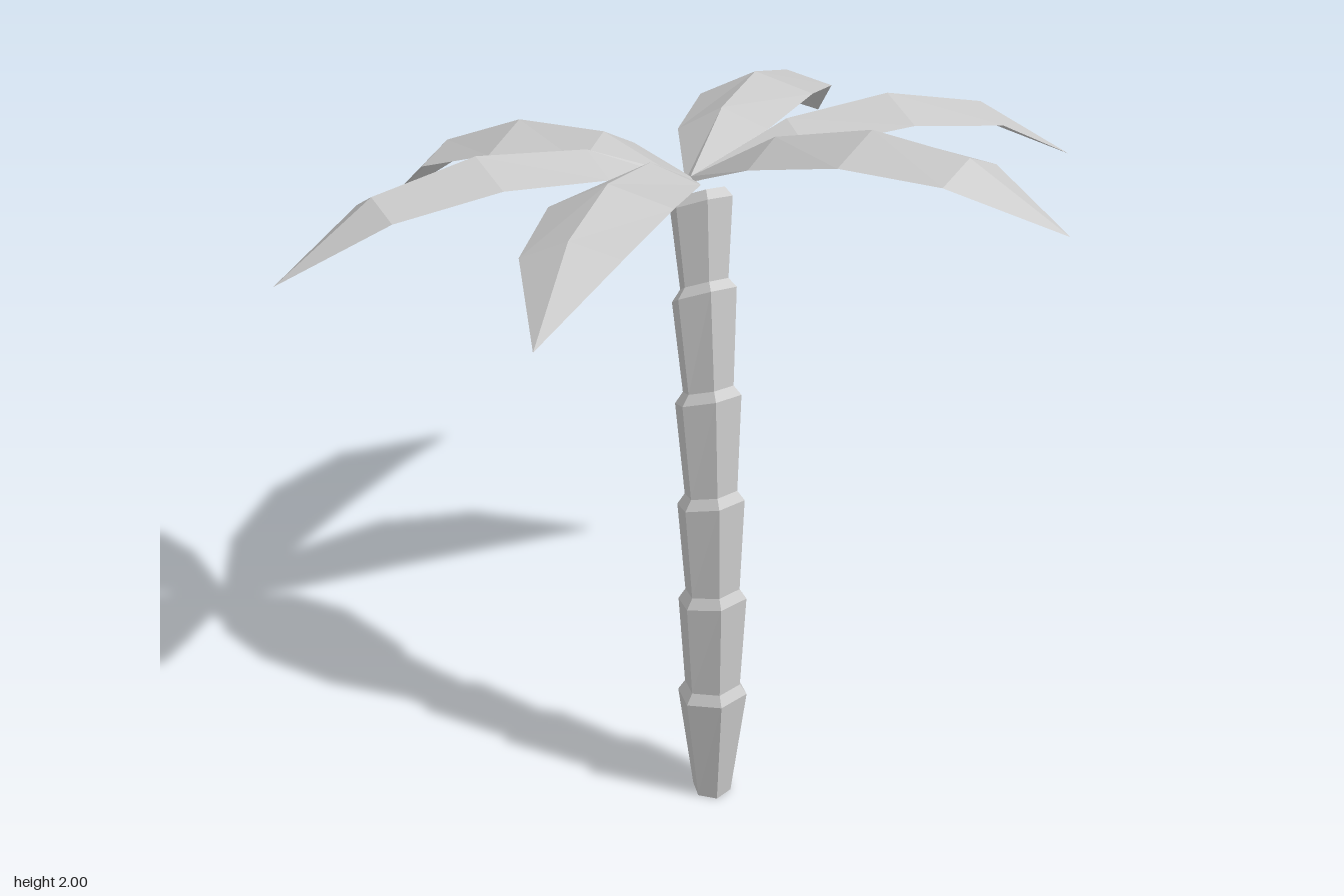
import * as THREE from 'three';

const material = new THREE.MeshStandardMaterial({ color: 0xcccccc, flatShading: true, side: THREE.DoubleSide });

// Trunk: a six-sided tube of flared segments, each ending in a narrow lip, leaning back.
function makeTrunk() {
  // wide rings: x, y, z, radius, lip radius, backward tilt in degrees
  const knots = [
    [0, 0.325, 0.13, 0.09, 0.072, 11],
    [0.003, 0.62, 0.12, 0.088, 0.07, 17],
    [0.006, 0.905, 0.1, 0.086, 0.067, 22],
    [0.01, 1.19, 0.07, 0.084, 0.064, 28],
    [0.013, 1.465, 0.036, 0.082, 0.061, 37],
    [0.02, 1.69, 0.0, 0.078, 0.058, 38],
  ];
  const rings = [{ c: new THREE.Vector3(0, 0, 0.13), r: 0.05, tilt: 0 }];
  for (const [x, y, z, r, lip, deg] of knots) {
    const tilt = THREE.MathUtils.degToRad(deg);
    const c = new THREE.Vector3(x, y, z);
    rings.push({ c, r, tilt });
    const up = new THREE.Vector3(0, 0.03, 0);
    rings.push({ c: c.clone().add(up), r: lip, tilt });
  }
  const rows = rings.length - 1;
  const geo = new THREE.CylinderGeometry(1, 1, 1, 6, rows, false, -0.12);
  const pos = geo.attributes.position;
  const v = new THREE.Vector3();
  const xAxis = new THREE.Vector3(1, 0, 0);
  for (let i = 0; i < pos.count; i++) {
    v.fromBufferAttribute(pos, i);
    const ring = rings[Math.round((v.y + 0.5) * rows)];
    v.y = 0;
    v.multiplyScalar(ring.r).applyAxisAngle(xAxis, -ring.tilt).add(ring.c);
    pos.setXYZ(i, v.x, v.y, v.z);
  }
  geo.computeVertexNormals();
  return new THREE.Mesh(geo, material);
}

// Leaf: thin arched blade with a raised centre ridge, from root to tip.
function makeLeaf(root, tip, crownNormal) {
  const along = tip.clone().sub(root);
  const dir = along.clone().normalize();
  const side = dir.clone().cross(crownNormal).normalize();
  const up = side.clone().cross(dir);
  // position along the leaf, arch height, half width, ridge height, thickness
  const stations = [
    [0, 0, 0.014, 0.012, 0.015],
    [0.24, 0.08, 0.113, 0.052, 0.014],
    [0.5, 0.122, 0.144, 0.055, 0.014],
    [0.75, 0.103, 0.116, 0.04, 0.012],
    [1, 0, 0, 0, 0],
  ];
  const sections = stations.map(([t, arch, half, ridge, thick]) => {
    const at = (s, h) => root.clone().addScaledVector(along, t)
      .addScaledVector(side, s).addScaledVector(up, arch + h);
    return [at(0, ridge), at(half, 0), at(0, ridge - thick), at(-half, 0)];
  });
  const points = [];
  for (let i = 0; i < sections.length - 1; i++) {
    const a = sections[i], b = sections[i + 1];
    for (let k = 0; k < 4; k++) {
      const n = (k + 1) % 4;
      points.push(a[k], a[n], b[n]);
      if (i < sections.length - 2) points.push(a[k], b[n], b[k]);
    }
  }
  const geo = new THREE.BufferGeometry().setFromPoints(points);
  geo.computeVertexNormals();
  return new THREE.Mesh(geo, material);
}

export function createModel() {
  const group = new THREE.Group();
  group.name = 'palmTree';

  const trunk = makeTrunk();
  trunk.name = 'trunk';
  group.add(trunk);

  // Crown of six leaves, tipped toward the back
  const crown = new THREE.Group();
  crown.name = 'crown';
  const root = new THREE.Vector3(0.01, 1.73, -0.04);
  const normal = new THREE.Vector3(0.05, 0.95, -0.31).normalize();
  const tips = {
    leftLeaf: [1, 1.585, -0.045],
    frontLeftLeaf: [0.56, 1.91, 0.75],
    frontRightLeaf: [-0.63, 1.89, 0.71],
    rightLeaf: [-1, 1.735, 0.045],
    backRightLeaf: [-0.54, 1.43, -0.69],
    backLeftLeaf: [0.65, 1.41, -0.75],
  };
  for (const [name, tip] of Object.entries(tips)) {
    const leaf = makeLeaf(root, new THREE.Vector3(...tip), normal);
    leaf.name = name;
    crown.add(leaf);
  }
  group.add(crown);
  return group;
}
